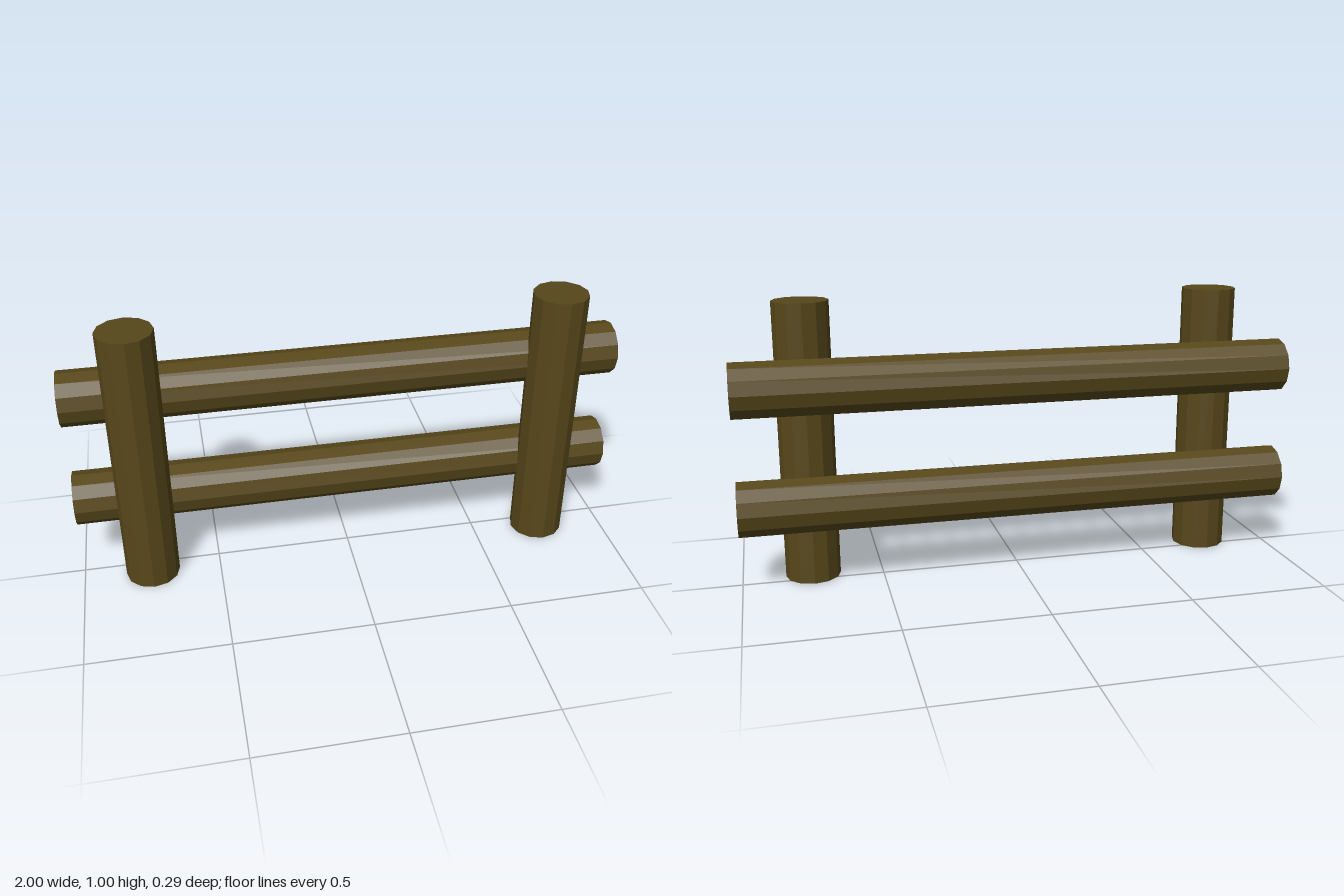
import * as THREE from 'three';

const RADIUS = 0.098;

export function createModel() {
  const group = new THREE.Group();
  const wood = new THREE.MeshStandardMaterial({ color: 0x57471a, flatShading: true });

  // Twelve-sided log, upright by default
  const addLog = (name, length, x, y, z) => {
    const log = new THREE.Mesh(new THREE.CylinderGeometry(RADIUS, RADIUS, length, 12), wood);
    log.name = name;
    log.position.set(x, y, z);
    group.add(log);
    return log;
  };

  // Two upright posts in front
  for (const side of [-1, 1]) {
    addLog(side > 0 ? 'leftPost' : 'rightPost', 1, side * 0.75, 0.5, RADIUS / 2);
  }

  // Two horizontal rails set into the back of the posts
  for (const [name, y] of [['lowerRail', 0.298], ['upperRail', 0.715]]) {
    addLog(name, 2, 0, y, -RADIUS / 2).rotation.z = Math.PI / 2;
  }

  return group;
}
